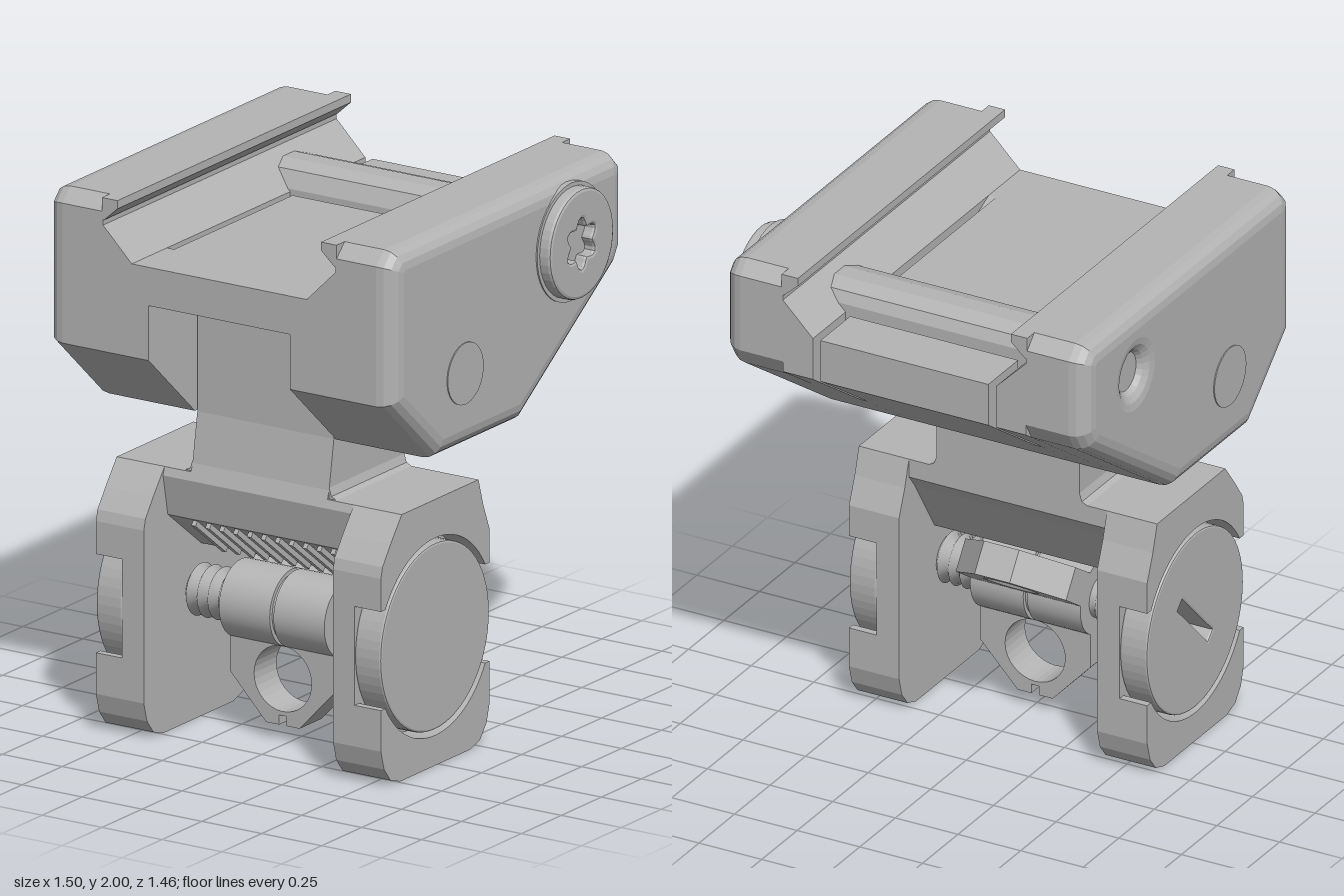
import * as THREE from 'three';

const CX = -0.025;                       // mirror plane of the body
const AXIS = { y: 0.47, z: 0.27 };       // windage screw axis
const BOLT = { y: 1.76, z: -0.38 };      // clamp bolt axis

export function createModel() {
  const model = new THREE.Group();
  const grey = new THREE.MeshStandardMaterial({ color: 0xb4b4b4 });
  grey.name = 'grey';

  const add = (name, geo, parent = model) => {
    const mesh = new THREE.Mesh(geo, grey);
    mesh.name = name;
    parent.add(mesh);
    return mesh;
  };
  const shapeOf = (pts, holes = []) => {
    const s = new THREE.Shape(pts.map(([a, b]) => new THREE.Vector2(a, b)));
    holes.forEach(h => s.holes.push(new THREE.Path(h.map(([a, b]) => new THREE.Vector2(a, b)))));
    return s;
  };
  const arc = (cx, cy, r, from = 0, to = 360, n = 32) =>
    Array.from({ length: n + 1 }, (_, i) => {
      const t = (from + (to - from) * i / n) * Math.PI / 180;
      return [cx + r * Math.cos(t), cy + r * Math.sin(t)];
    });
  const ring = (cx, cy, r, n = 32) => arc(cx, cy, r, 0, 360, n).slice(0, n);
  // side profile [z, y] swept from x0 to x1
  const slab = (pts, x0, x1, holes = [], bevel = 0) => {
    const g = new THREE.ExtrudeGeometry(shapeOf(pts, holes), {
      depth: x1 - x0 - 2 * bevel, bevelEnabled: bevel > 0, bevelSize: bevel,
      bevelThickness: bevel, bevelOffset: -bevel, bevelSegments: 2 });
    return g.rotateY(-Math.PI / 2).translate(x1 - bevel, 0, 0);
  };
  // front profile [x, y] swept from z0 to z1
  const prism = (pts, z0, z1, holes = []) => new THREE.ExtrudeGeometry(
    shapeOf(pts, holes), { depth: z1 - z0, bevelEnabled: false }).translate(0, 0, z0);
  const mx = x => 2 * CX - x;
  const slabPair = (name, pts, x0, x1) => {
    add(name + 'Right', slab(pts, x0, x1));
    add(name + 'Left', slab(pts, mx(x1), mx(x0)));
  };
  const prismPair = (name, pts, z0, z1) => {
    add(name + 'Right', prism(pts, z0, z1));
    add(name + 'Left', prism(pts.map(([x, y]) => [mx(x), y]), z0, z1));
  };
  const rod = (r, x0, x1, y, z, n = 40) => new THREE.CylinderGeometry(r, r, x1 - x0, n)
    .rotateZ(-Math.PI / 2).translate((x0 + x1) / 2, y, z);

  // clamp cheeks: outer edges rounded, inner side kept flat
  const cheekProfile = [[0.73, 1.44], [0.73, 1.95], [0.68, 2], [-0.68, 2], [-0.73, 1.95],
    [-0.73, 1.66], [-0.69, 1.593], [-0.09, 1.18], [0.44, 1.18]];
  const cheek = (side, holes) => {
    const b = 0.07, d = 0.17;
    const g = new THREE.ExtrudeGeometry(shapeOf(cheekProfile, holes), {
      depth: d, bevelSize: b, bevelThickness: b, bevelOffset: -b, bevelSegments: 4 });
    const p = g.attributes.position;
    for (let i = 0; i < p.count; i++)
      p.setZ(i, side < 0 ? Math.max(0, p.getZ(i)) : Math.min(d, p.getZ(i)));
    g.rotateY(-Math.PI / 2).translate(side < 0 ? -0.51 : 0.63, 0, 0);
    g.computeVertexNormals();
    return g;
  };
  add('cheekRight', cheek(-1, [ring(BOLT.z, BOLT.y, 0.065, 24)]));
  add('cheekLeft', cheek(1, []));
  prismPair('railRamp', [[-0.51, 1.78], [-0.39, 1.78], [-0.51, 1.9]], -0.73, 0.73);
  prismPair('railLip', [[-0.515, 2], [-0.515, 1.92], [-0.505, 1.92], [-0.45, 1.97], [-0.45, 2]], -0.73, 0.73);

  // rail floor, with cross groove, flex slits and a pocket for the arm
  const front = [[0.44, 1.18], [0.73, 1.44], [0.73, 1.78]];
  const groove = [[-0.23, 1.78], [-0.23, 1.65], [-0.52, 1.65], [-0.52, 1.78]];
  const rear = [[-0.73, 1.78], [-0.73, 1.62], [-0.09, 1.18]];
  slabPair('floorEdge', [...front, ...rear], -0.51, -0.39);
  slabPair('slitFloor', [...front, [0.51, 1.78], [0.37, 1.72], [0.17, 1.68], [-0.28, 1.66],
    [-0.38, 1.6], [-0.4, 1.393], [-0.09, 1.18]], -0.39, -0.36);
  slabPair('floorSide', [...front, ...groove, ...rear], -0.36, -0.32);
  add('floorCentre', slab([[0.0, 1.18], [0.0, 1.64], [0.73, 1.64], [0.73, 1.78], ...groove, ...rear],
    -0.32, mx(-0.32)));

  // cross bar and clamp bolt
  const bar = [[0.12, -0.09], [0.12, 0.03], [0.09, 0.09], [0.03, 0.11], [-0.04, 0.11],
    [-0.1, 0.09], [-0.12, 0.05], [-0.12, -0.09]];
  add('crossBar', slab(bar.map(([z, y]) => [BOLT.z + z, BOLT.y + y]), -0.49, 0.44));
  add('boltEnd', rod(0.09, -0.71, -0.48, BOLT.y, BOLT.z, 24));
  add('boltSeat', rod(0.215, 0.6, 0.705, BOLT.y, BOLT.z));
  const star = Array.from({ length: 48 }, (_, i) => {
    const t = i / 48 * Math.PI * 2, r = 0.078 + 0.015 * Math.cos(6 * t);
    return [BOLT.z + r * Math.sin(t), BOLT.y + r * Math.cos(t)];
  });
  add('boltHead', slab(ring(BOLT.z, BOLT.y, 0.2, 40), 0.66, 0.75, [star], 0.012));
  // hinge pin ends
  add('hingePinRight', rod(0.112, -0.754, -0.7, 1.455, 0.28));
  add('hingePinLeft', rod(0.112, 0.65, 0.704, 1.455, 0.28));

  // folding arm
  add('arm', slab([[0, 0.9], [0.47, 0.9], [0.48, 0.97], [0.47, 1], [0.44, 1.18], [0.44, 1.53], [0.41, 1.59],
    [0.3, 1.635], [0.06, 1.635], [0, 1.58]], -0.31, 0.26));
  prismPair('armFillet', [[-0.34, 0.97], [-0.31, 0.97], [-0.31, 1.01], [-0.32, 0.98]], 0, 0.47);

  // yoke bridge with detent ridges
  add('bridge', slab([[0, 0.97], [0.48, 0.97], [0.49, 0.94], [0.46, 0.79], [0.25, 0.63], [0.18, 0.63],
    [0.04, 0.85], [0, 0.9]], -0.43, 0.38));
  for (let i = 0; i < 11; i++)
    add('detentRidge', new THREE.BoxGeometry(0.018, 0.03, 0.24)
      .rotateX(-Math.atan2(0.16, 0.21)).translate(-0.31 + i * 0.058, 0.708, 0.36));

  // yoke legs, recessed around the round knobs
  const top = [[-0.07, 0.77], [-0.03, 0.87], [0, 0.97], [0.48, 0.97], [0.55, 0.88], [0.6, 0.81], [0.61, 0.77]];
  const bottom = [[0.61, 0.14], [0.59, 0.07], [0.55, 0.02], [0.49, 0], [0.05, 0], [-0.01, 0.02],
    [-0.05, 0.07], [-0.07, 0.14]];
  slabPair('leg', [...top, ...bottom], -0.51, -0.42);
  slabPair('legUpperRim', [...top, [0.61, 0.65], ...arc(AXIS.z, AXIS.y, 0.36, 30, 150), [-0.07, 0.65]], -0.62, -0.51);
  slabPair('legLowerRim', [...bottom, [-0.07, 0.29], ...arc(AXIS.z, AXIS.y, 0.36, 210, 330), [0.61, 0.29]], -0.62, -0.51);
  const slot = [[-0.15, -0.022], [0.15, -0.022], [0.15, 0.022], [-0.15, 0.022]].map(([a, b]) =>
    [AXIS.z + (a + b) * Math.SQRT1_2, AXIS.y + (b - a) * Math.SQRT1_2]);
  const disc = ring(AXIS.z, AXIS.y, 0.34, 64);
  add('knobRight', slab(disc, -0.62, -0.51, [slot], 0.008));
  add('knobLeft', slab(disc, mx(-0.51), mx(-0.62), [], 0.008));

  // threaded windage screw
  const thread = [];
  for (let i = 0; i <= 36; i++) thread.push(new THREE.Vector2(i % 2 ? 0.095 : 0.065, -0.43 + i * 0.0225));
  add('windageScrew', new THREE.LatheGeometry(thread, 28).rotateZ(-Math.PI / 2).translate(0, AXIS.y, AXIS.z));

  // flip aperture: split barrel with two plates
  const aperture = new THREE.Group();
  aperture.name = 'aperture';
  aperture.position.set(-0.02, AXIS.y, AXIS.z);
  model.add(aperture);
  add('barrelRight', rod(0.14, -0.22, -0.008, 0, 0), aperture);
  add('barrelLeft', rod(0.14, 0.008, 0.22, 0, 0), aperture);
  add('barrelCore', rod(0.125, -0.02, 0.02, 0, 0), aperture);
  const plate = [[-0.22, -0.1], [-0.22, -0.25], [-0.07, -0.41], [-0.015, -0.41], [-0.015, -0.375],
    [0.015, -0.375], [0.015, -0.41], [0.07, -0.41], [0.22, -0.25], [0.22, -0.1]];
  add('largePeepPlate', prism(plate, -0.07, 0.07, [ring(0, -0.24, 0.12)]), aperture);
  const tip = plate.filter(([x]) => Math.abs(x) > 0.02);
  const small = new THREE.Group();
  small.name = 'smallPeep';
  small.rotation.x = 124 * Math.PI / 180;
  aperture.add(small);
  add('smallPeepPlate', prism(tip, -0.06, 0.06, [ring(0, -0.25, 0.1)]), small);
  const cone = [[0.1, 0.06], [0.035, 0], [0.035, -0.06], [0.1, -0.06]].map(([r, y]) => new THREE.Vector2(r, y));
  add('countersink', new THREE.LatheGeometry(cone, 32).rotateX(Math.PI / 2).translate(0, -0.25, 0), small);

  return model;
}
